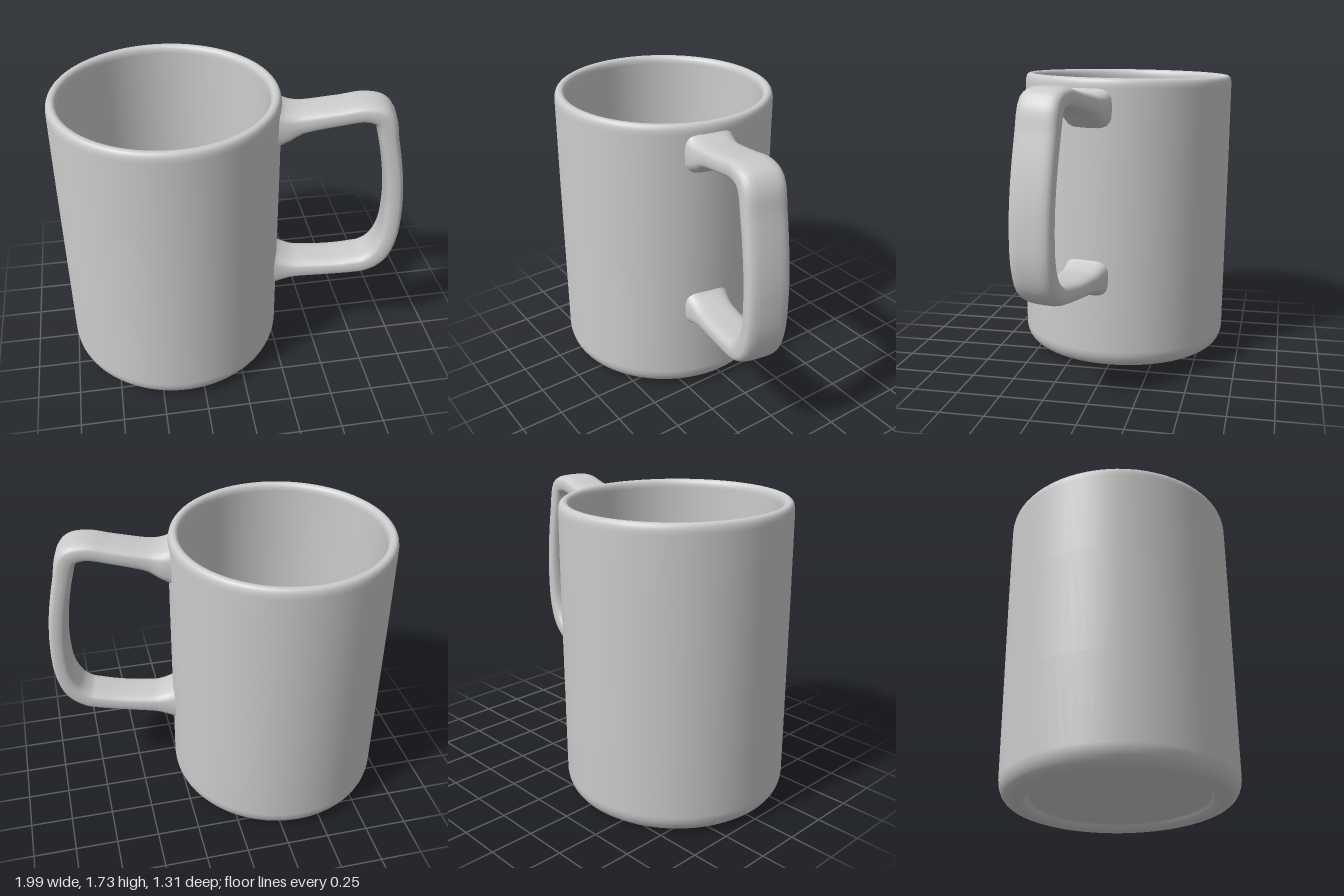
import * as THREE from 'three';

const material = new THREE.MeshStandardMaterial({ color: 0xcccccc, side: THREE.DoubleSide });

function mesh(name, geometry) {
  const m = new THREE.Mesh(geometry, material);
  m.name = name;
  return m;
}

// Cup: one closed profile from the underside, up the outside, over the rim, to the inner floor
function cupGeometry() {
  const p = new THREE.Path();
  p.moveTo(0, 0.04);
  p.lineTo(0.48, 0.04);
  p.quadraticCurveTo(0.5, 0.0, 0.54, 0.0);
  p.quadraticCurveTo(0.635, 0.005, 0.642, 0.11);
  p.lineTo(0.642, 0.6);
  p.lineTo(0.642, 1.2);
  p.lineTo(0.64, 1.66);
  p.quadraticCurveTo(0.64, 1.716, 0.61, 1.716);
  p.quadraticCurveTo(0.58, 1.716, 0.578, 1.67);
  p.lineTo(0.572, 0.9);
  p.lineTo(0.57, 0.18);
  p.quadraticCurveTo(0.565, 0.1, 0.49, 0.1);
  p.lineTo(0, 0.1);
  return new THREE.LatheGeometry(p.getPoints(6), 72);
}

// Handle stations: distance from cup axis, height, half thickness, half width
const stations = [
  [0.60, 1.55, 0.135, 0.15], [0.66, 1.555, 0.10, 0.14], [0.75, 1.575, 0.065, 0.123],
  [0.95, 1.615, 0.055, 0.12], [1.10, 1.64, 0.056, 0.12], [1.19, 1.61, 0.062, 0.12],
  [1.24, 1.45, 0.055, 0.12], [1.29, 1.2, 0.054, 0.12], [1.307, 1.0, 0.054, 0.12],
  [1.295, 0.8, 0.057, 0.12], [1.245, 0.675, 0.062, 0.12], [1.17, 0.615, 0.06, 0.12],
  [1.10, 0.597, 0.058, 0.12], [0.95, 0.575, 0.056, 0.118], [0.75, 0.56, 0.065, 0.12],
  [0.66, 0.558, 0.095, 0.13], [0.60, 0.56, 0.13, 0.145],
];

// Sweeps a rounded-rectangle section along the stations
function handleGeometry() {
  const path = new THREE.CatmullRomCurve3(stations.map(([r, y]) => new THREE.Vector3(r, y, 0)));
  const size = new THREE.CatmullRomCurve3(stations.map(([, , t, w], i) => new THREE.Vector3(t, w, i)), false, 'catmullrom', 0.5);
  const rows = 80, sides = 24, pos = [], index = [];
  const soft = v => Math.sign(v) * Math.pow(Math.abs(v), 0.6);
  for (let i = 0; i <= rows; i++) {
    const c = path.getPoint(i / rows), d = path.getTangent(i / rows), s = size.getPoint(i / rows);
    for (let j = 0; j < sides; j++) {
      const a = (j / sides) * Math.PI * 2;
      const n = soft(Math.cos(a)) * s.x, w = soft(Math.sin(a)) * s.y;
      pos.push(c.x - d.y * n, c.y + d.x * n, w);
      if (i < rows) {
        const k = i * sides, j2 = (j + 1) % sides;
        index.push(k + j, k + sides + j, k + j2, k + j2, k + sides + j, k + sides + j2);
      }
    }
  }
  const g = new THREE.BufferGeometry();
  g.setAttribute('position', new THREE.Float32BufferAttribute(pos, 3));
  // Order corners so that faces point outwards
  for (let i = 0; i < index.length; i += 3) [index[i + 1], index[i + 2]] = [index[i + 2], index[i + 1]];
  g.setIndex(index);
  g.computeVertexNormals();
  return g;
}

export function createModel() {
  const mug = new THREE.Group();
  mug.name = 'mug';
  const cup = mesh('cup', cupGeometry());
  const handle = mesh('handle', handleGeometry());
  handle.rotation.y = -0.187;
  mug.add(cup, handle);
  // The mug leans back very slightly
  mug.rotation.x = -0.015;
  mug.position.set(-0.36, 0.009, 0.01);
  const model = new THREE.Group();
  model.name = 'model';
  model.add(mug);
  return model;
}
